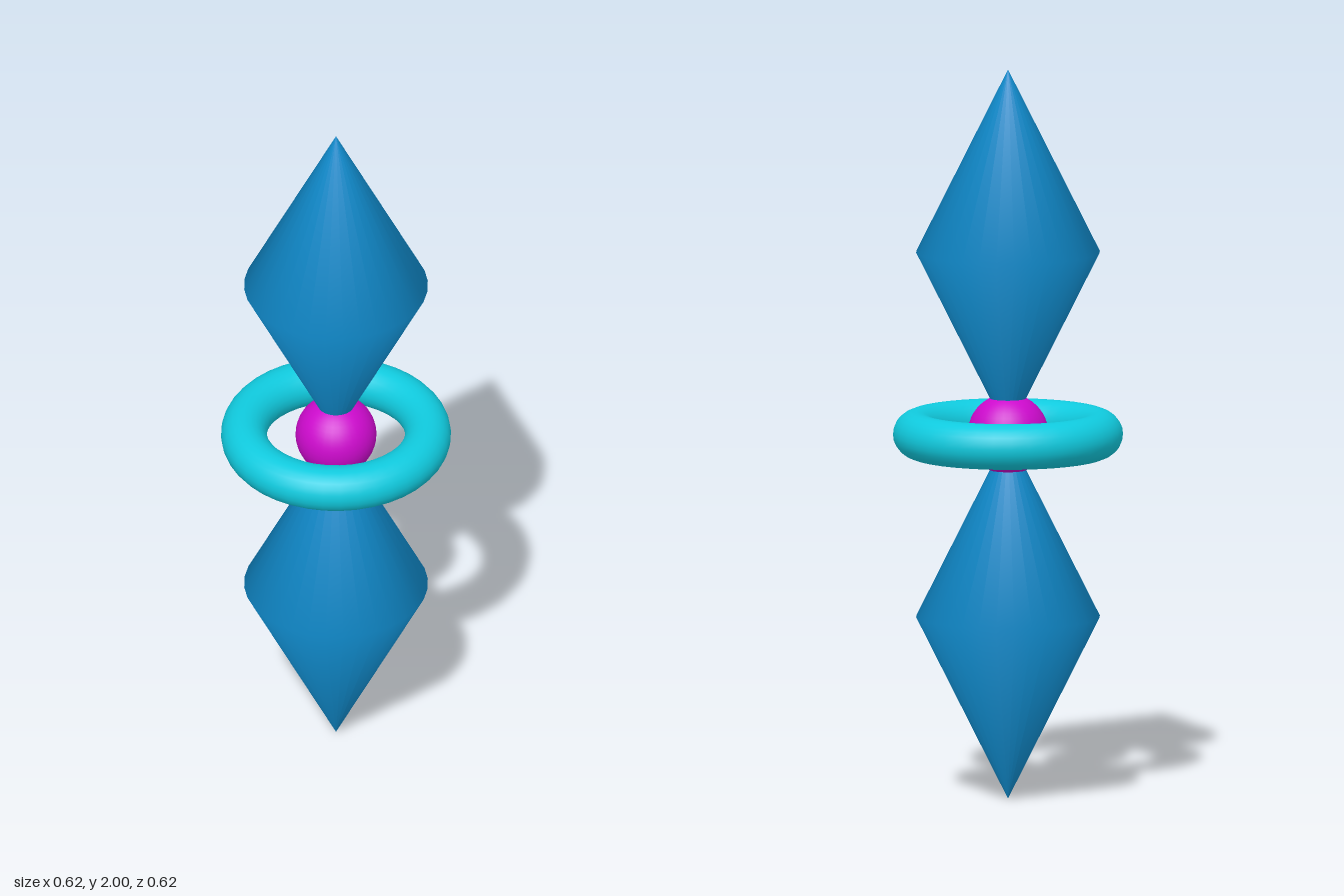
import * as THREE from 'three';

export function createModel() {
  const model = new THREE.Group();
  const add = (name, geometry, color, y) => {
    const mesh = new THREE.Mesh(geometry, new THREE.MeshStandardMaterial({ color }));
    mesh.name = name;
    mesh.position.y = y;
    model.add(mesh);
    return mesh;
  };

  // Two smooth spindle crystals meeting tip to tip
  const profile = [[0, -0.5], [0.25, 0], [0, 0.5]].map(([r, y]) => new THREE.Vector2(r, y));
  const crystal = new THREE.LatheGeometry(profile, 32);
  add('upperCrystal', crystal, 0x108acb, 1.5);
  add('lowerCrystal', crystal, 0x108acb, 0.5);

  // Core where the tips meet
  add('core', new THREE.SphereGeometry(0.11, 32, 24), 0xcc0acc, 1);

  // Horizontal ring around the core
  const ring = new THREE.TorusGeometry(0.25, 0.0625, 24, 40).rotateX(Math.PI / 2);
  add('ring', ring, 0x10cade, 1);

  return model;
}
